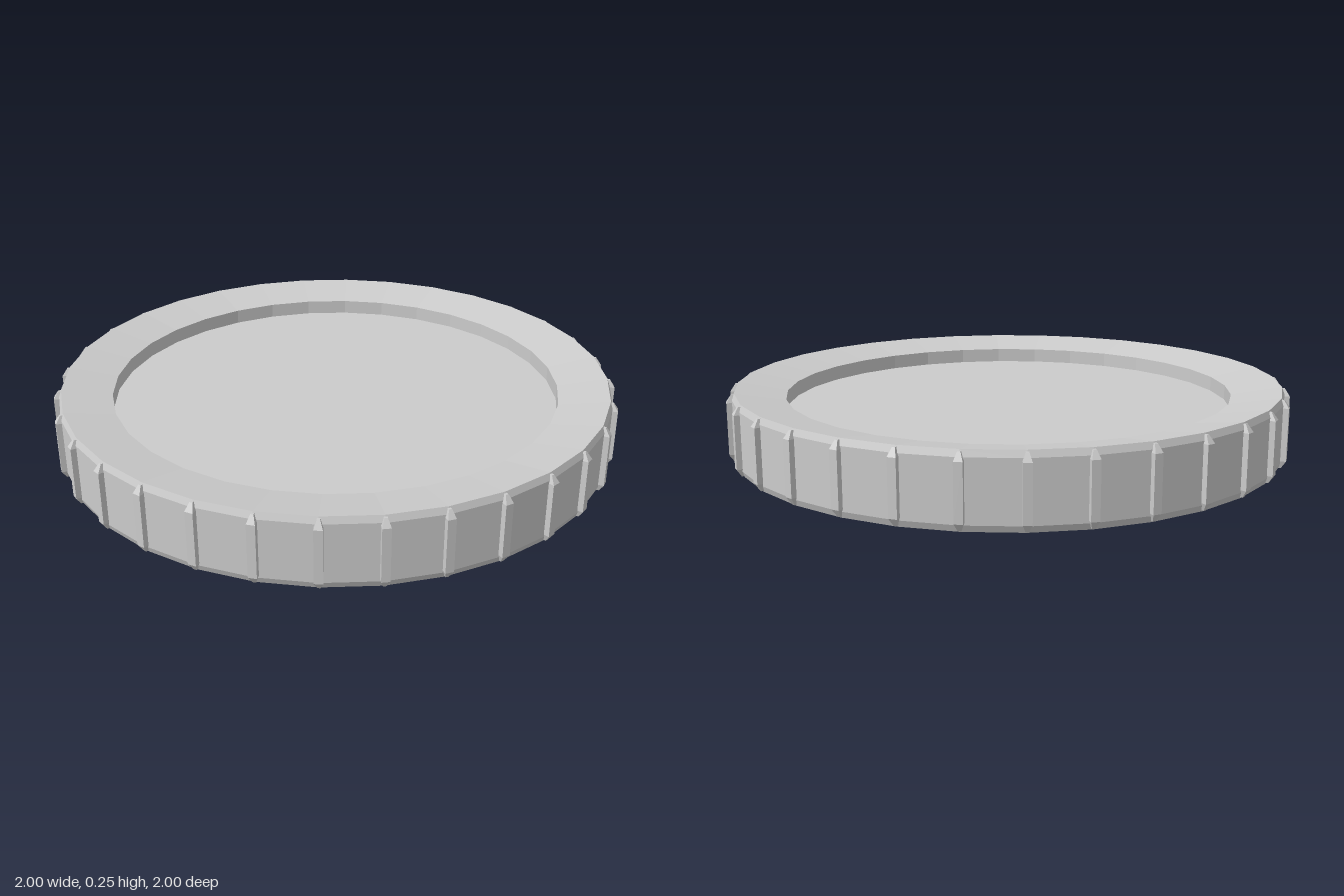
import * as THREE from 'three';

const SIDES = 32;
const HEIGHT = 0.245;

export function createModel() {
  const model = new THREE.Group();
  model.name = 'coin';
  const material = new THREE.MeshStandardMaterial({ color: 0xcccccc, flatShading: true });

  // Disc: lower half of the section, from the recessed face to the outer edge
  const lower = [[0, 0.085], [0.797, 0.085], [0.797, 0.032], [0.973, 0], [0.982, 0.022]];
  const upper = lower.map(([r, y]) => [r, HEIGHT - y]).reverse();
  const profile = [...lower, ...upper].map(([r, y]) => new THREE.Vector2(r, y));
  const disc = new THREE.Mesh(new THREE.LatheGeometry(profile, SIDES), material);
  disc.name = 'disc';
  model.add(disc);

  // Ridge: upright bar whose two ends taper in
  const ridgeGeometry = new THREE.BoxGeometry(1, 1, 1, 1, 3, 1);
  const pos = ridgeGeometry.attributes.position;
  for (let i = 0; i < pos.count; i++) {
    const end = Math.abs(pos.getY(i)) > 0.4;
    const y = HEIGHT / 2 + Math.sign(pos.getY(i)) * (end ? 0.118 : 0.092);
    const z = pos.getZ(i) > 0 ? (end ? 0.983 : 1.0) : 0.96;
    pos.setXYZ(i, Math.sign(pos.getX(i)) * (end ? 0.005 : 0.014), y, z);
  }
  ridgeGeometry.computeVertexNormals();

  // One ridge on every corner of the edge
  const ridges = new THREE.Group();
  ridges.name = 'edgeRidges';
  for (let i = 0; i < SIDES; i++) {
    const ridge = new THREE.Mesh(ridgeGeometry, material);
    ridge.name = 'edgeRidge';
    ridge.rotation.y = (i / SIDES) * Math.PI * 2;
    ridges.add(ridge);
  }
  model.add(ridges);
  return model;
}
